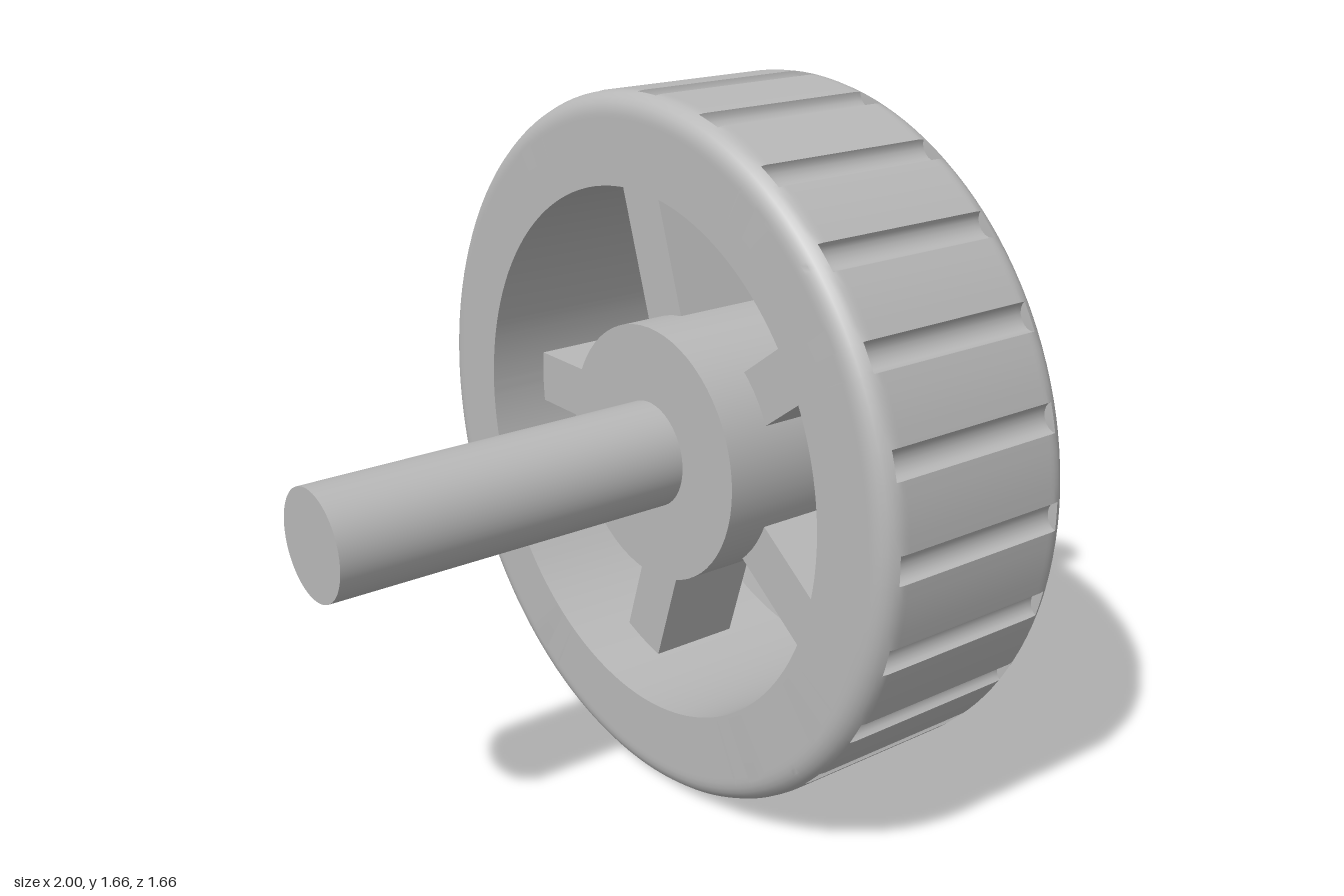
import * as THREE from 'three';
import { toCreasedNormals } from 'three/addons/utils/BufferGeometryUtils.js';

const AXLE_Y = 0.83;              // wheel centre height
const R = 0.83, FILLET = 0.05;    // tyre outer radius and edge rounding
const INNER = 0.6225;             // tyre opening radius
const X0 = -0.18, X1 = 0.35;      // tyre side faces
const GROOVES = 24, HALF_W = 0.033, DEPTH = 0.026;

// Cross-section rings [x, radius, grooved?], closed, from the -x side to the +x side
function tyreProfile() {
  const half = [[0, INNER, false], [0, R - FILLET - 0.01, false]];
  for (let k = 0; k <= 6; k++) {
    const a = (k * Math.PI) / 12;
    const x = FILLET * (1 - Math.cos(a)), r = R - FILLET * (1 - Math.sin(a));
    if (k < 6) half.push([x, r, false]);
    if (k >= 5) half.push([x, r, true]);   // doubled ring makes the groove's end wall
  }
  half.push([FILLET + 0.01, R, true]);
  const left = half.map(([x, r, g]) => [X0 + x, r, g]);
  const right = half.map(([x, r, g]) => [X1 - x, r, g]).reverse();
  return [...left, ...right, left[0]];
}

// Angles round the tyre, each with the groove depth there
function tyreAngles() {
  const list = [], w = HALF_W / R, pitch = (2 * Math.PI) / GROOVES;
  for (let g = 0; g < GROOVES; g++) {
    for (let k = 0; k <= 8; k++) {
      const a = (k * Math.PI) / 8;
      list.push([g * pitch - w * Math.cos(a), DEPTH * Math.sin(a)]);
    }
    for (let k = 1; k < 4; k++) list.push([g * pitch + w + ((pitch - 2 * w) * k) / 4, 0]);
  }
  return list;
}

function tyreGeometry() {
  const profile = tyreProfile(), angles = tyreAngles(), n = angles.length;
  const pos = [], index = [];
  const radius = (i, j) => {
    const [, r, grooved] = profile[i];
    return grooved ? Math.min(r, R - angles[j][1]) : r;
  };
  profile.forEach(([x], i) => angles.forEach(([t], j) => {
    const r = radius(i, j);
    pos.push(x, r * Math.cos(t), r * Math.sin(t));
  }));
  for (let i = 0; i < profile.length - 1; i++) {
    const wall = profile[i][0] === profile[i + 1][0] && profile[i][2] !== profile[i + 1][2];
    for (let j = 0; j < n; j++) {
      const k = (j + 1) % n;
      const gapJ = !wall || Math.abs(radius(i, j) - radius(i + 1, j)) > 1e-6;
      const gapK = !wall || Math.abs(radius(i, k) - radius(i + 1, k)) > 1e-6;
      const a = i * n + j, b = i * n + k, c = b + n, d = a + n;
      if (gapK) index.push(a, b, c);
      if (gapJ) index.push(a, c, d);
    }
  }
  const geo = new THREE.BufferGeometry();
  geo.setAttribute('position', new THREE.Float32BufferAttribute(pos, 3));
  geo.setIndex(index);
  return toCreasedNormals(geo, 0.5);
}

export function createModel() {
  const model = new THREE.Group();
  model.name = 'wheelAndAxle';
  const grey = new THREE.MeshStandardMaterial({ color: 0xb8b8b8 });
  grey.name = 'grey';

  const wheel = new THREE.Group();
  wheel.name = 'wheel';
  wheel.position.y = AXLE_Y;
  model.add(wheel);

  const add = (name, geo) => {
    const mesh = new THREE.Mesh(geo, grey);
    mesh.name = name;
    wheel.add(mesh);
    return mesh;
  };
  // Cylinder along x between two positions
  const rod = (name, r, xa, xb) =>
    add(name, new THREE.CylinderGeometry(r, r, xb - xa, 64)
      .rotateZ(-Math.PI / 2).translate((xa + xb) / 2, 0, 0));

  // Grooved tyre ring
  add('tyre', tyreGeometry());

  // Hub and the two axle ends
  rod('hub', 0.303, -0.145, 0.317);
  rod('thickAxle', 0.125, -1, -0.14);
  rod('thinAxle', 0.068, 0.31, 1);

  // Five spokes, the first pointing to the back
  for (let i = 0; i < 5; i++) {
    const spoke = add('spoke', new THREE.BoxGeometry(0.23, 0.13, 0.345).translate(0.085, 0, -0.4575));
    spoke.rotation.x = (i * 2 * Math.PI) / 5;
  }
  return model;
}
